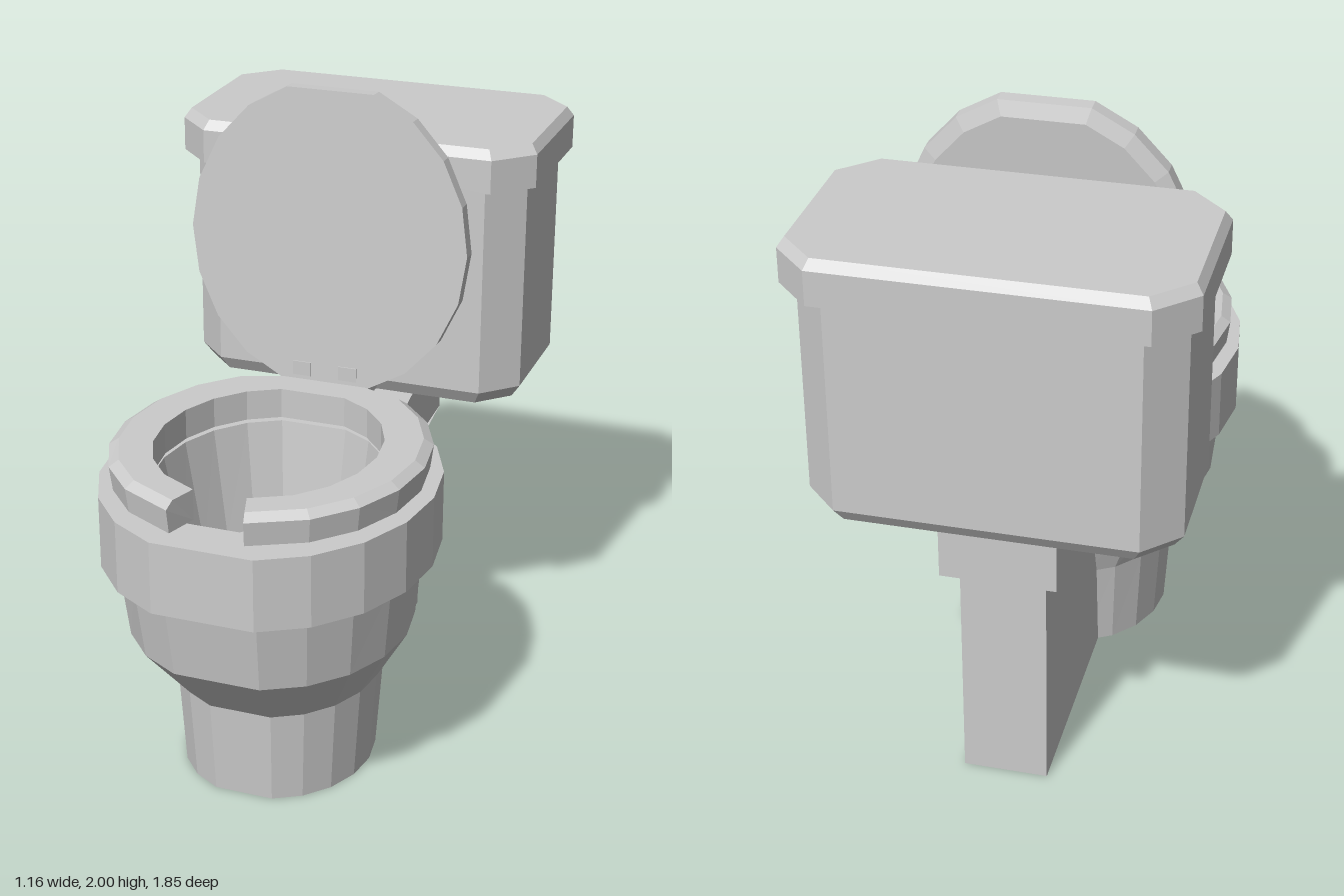
import * as THREE from 'three';

const material = new THREE.MeshStandardMaterial({ color: 0xcccccc, flatShading: true, roughness: 0.8 });

// Closed solid through equal-length rings of [x, y, z], capped at both ends
function loft(rings) {
  const n = rings[0].length, out = [];
  const tri = (a, b, c) => out.push([a, b, c]);
  for (let r = 0; r < rings.length - 1; r++) {
    for (let i = 0; i < n; i++) {
      const j = (i + 1) % n, p = rings[r], q = rings[r + 1];
      tri(p[i], q[j], p[j]);
      tri(p[i], q[i], q[j]);
    }
  }
  const first = rings[0], last = rings[rings.length - 1];
  for (let i = 1; i < n - 1; i++) {
    tri(first[0], first[i], first[i + 1]);
    tri(last[0], last[i + 1], last[i]);
  }
  // Turn the faces outward when the signed volume is negative
  let volume = 0;
  const v = [new THREE.Vector3(), new THREE.Vector3(), new THREE.Vector3()];
  for (const t of out) {
    t.forEach((p, k) => v[k].fromArray(p));
    volume += v[0].dot(v[1].clone().cross(v[2]));
  }
  if (volume < 0) out.forEach((t) => t.reverse());
  const g = new THREE.BufferGeometry();
  g.setAttribute('position', new THREE.Float32BufferAttribute(out.flat(2), 3));
  g.computeVertexNormals();
  return g;
}

// Oval outline with blunt front and back: 20 steps without the two tips
const STEP = Math.PI / 10, BLUNT = Math.cos(STEP);
const OVAL = [];
for (let k = 0; k < 20; k++) if (k % 10 !== 0) OVAL.push(k * STEP);
const ovalRing = (rx, zc, front, y) =>
  OVAL.map((a) => [rx * Math.sin(a), y, zc + ((front - zc) / BLUNT) * Math.cos(a)]);

// Rectangle with cut corners
function cutRing(hx, z0, z1, cut, y) {
  return [[hx, z0 + cut], [hx, z1 - cut], [hx - cut, z1], [cut - hx, z1],
    [-hx, z1 - cut], [-hx, z0 + cut], [cut - hx, z0], [hx - cut, z0]].map(([x, z]) => [x, y, z]);
}

export function createModel() {
  const model = new THREE.Group();
  const add = (name, geometry, parent = model) => {
    const mesh = new THREE.Mesh(geometry, material);
    mesh.name = name;
    parent.add(mesh);
    return mesh;
  };
  const box = (name, x0, x1, y0, y1, z0, z1, parent) => {
    const mesh = add(name, new THREE.BoxGeometry(x1 - x0, y1 - y0, z1 - z0), parent);
    mesh.position.set((x0 + x1) / 2, (y0 + y1) / 2, (z0 + z1) / 2);
    return mesh;
  };

  // Pedestal, bowl, rim and basin in one profile: rx, centre z, front z, y
  add('bowl', loft([
    [0.295, 0.32, 0.635, 0],
    [0.315, 0.315, 0.655, 0.3],
    [0.43, 0.38, 0.83, 0.5],
    [0.455, 0.39, 0.87, 0.745],
    [0.505, 0.38, 0.925, 0.745],
    [0.505, 0.38, 0.925, 0.97],
    [0.34, 0.4, 0.78, 0.97],
    [0.285, 0.37, 0.68, 0.62],
  ].map((s) => ovalRing(...s))));

  // Rear support and the shelf that carries the tank
  box('rearPedestal', -0.13, 0.13, 0, 0.75, -0.69, 0.03);
  const side = [[0.235, -0.08], [0.235, -0.13], [0.215, -0.3], [0.185, -0.5], [0.175, -0.75]];
  const plan = [...side, ...side.map(([x, z]) => [-x, z]).reverse()];
  add('tankShelf', loft([0.745, 0.97].map((y) => plan.map(([x, z]) => [x, y, z]))));

  // Seat: a bevelled section swept round the oval, open at the front
  const gap = 0.245;
  const sweep = [gap, ...OVAL.slice(1, -1), 2 * Math.PI - gap];
  add('seat', loft(sweep.map((a) => {
    const at = (rx, zc, rz, y) => [rx * Math.sin(a), y, Math.max(-0.07, zc + rz * Math.cos(a))];
    return [
      at(0.335, 0.4, 0.39, 0.985),
      at(0.335, 0.4, 0.39, 1.08),
      at(0.445, 0.38, 0.496, 1.08),
      at(0.475, 0.38, 0.526, 1.06),
      at(0.465, 0.38, 0.516, 0.985),
    ];
  })));

  // Raised lid: bevelled oval slab leaning slightly back
  const lid = add('lid', loft([
    [0.445, 0.465, 0.032], [0.445, 0.465, -0.015], [0.4, 0.42, -0.032],
  ].map(([rx, ry, z]) => OVAL.map((a) => [rx * Math.sin(a), (ry / BLUNT) * Math.cos(a), z]))));
  lid.position.set(0, 1.535, -0.131);
  lid.rotation.x = -0.05;

  // Hinge block, link to the seat and two lugs
  const hinge = new THREE.Group();
  hinge.name = 'hinge';
  model.add(hinge);
  box('hingeBlock', -0.1, 0.1, 0.985, 1.1, -0.29, -0.12, hinge);
  for (const s of [-1, 1]) {
    box('hingeLink', s * 0.075 - 0.03, s * 0.075 + 0.03, 1.04, 1.07, -0.13, -0.06, hinge);
    box('hingeLug', s * 0.075 - 0.03, s * 0.075 + 0.03, 1.09, 1.135, -0.17, -0.075, hinge);
  }

  // Tank and its cover
  add('tank', loft([
    cutRing(0.515, -0.85, -0.32, 0.095, 0.97),
    cutRing(0.545, -0.88, -0.292, 0.105, 1.015),
    cutRing(0.545, -0.88, -0.292, 0.105, 1.7),
  ]));
  add('tankCover', loft([
    cutRing(0.58, -0.925, -0.25, 0.112, 1.69),
    cutRing(0.58, -0.925, -0.25, 0.112, 1.795),
    cutRing(0.56, -0.905, -0.27, 0.105, 1.825),
  ]));

  // Flush lever on the tank front
  const lever = new THREE.Group();
  lever.name = 'flushLever';
  model.add(lever);
  const spindle = add('leverSpindle', new THREE.CylinderGeometry(0.03, 0.03, 0.06, 8), lever);
  spindle.rotation.x = Math.PI / 2;
  spindle.position.set(-0.42, 1.6, -0.275);
  const handle = box('leverHandle', -0.45, -0.29, 1.555, 1.595, -0.28, -0.243, lever);
  handle.rotation.z = -0.2;

  return model;
}
